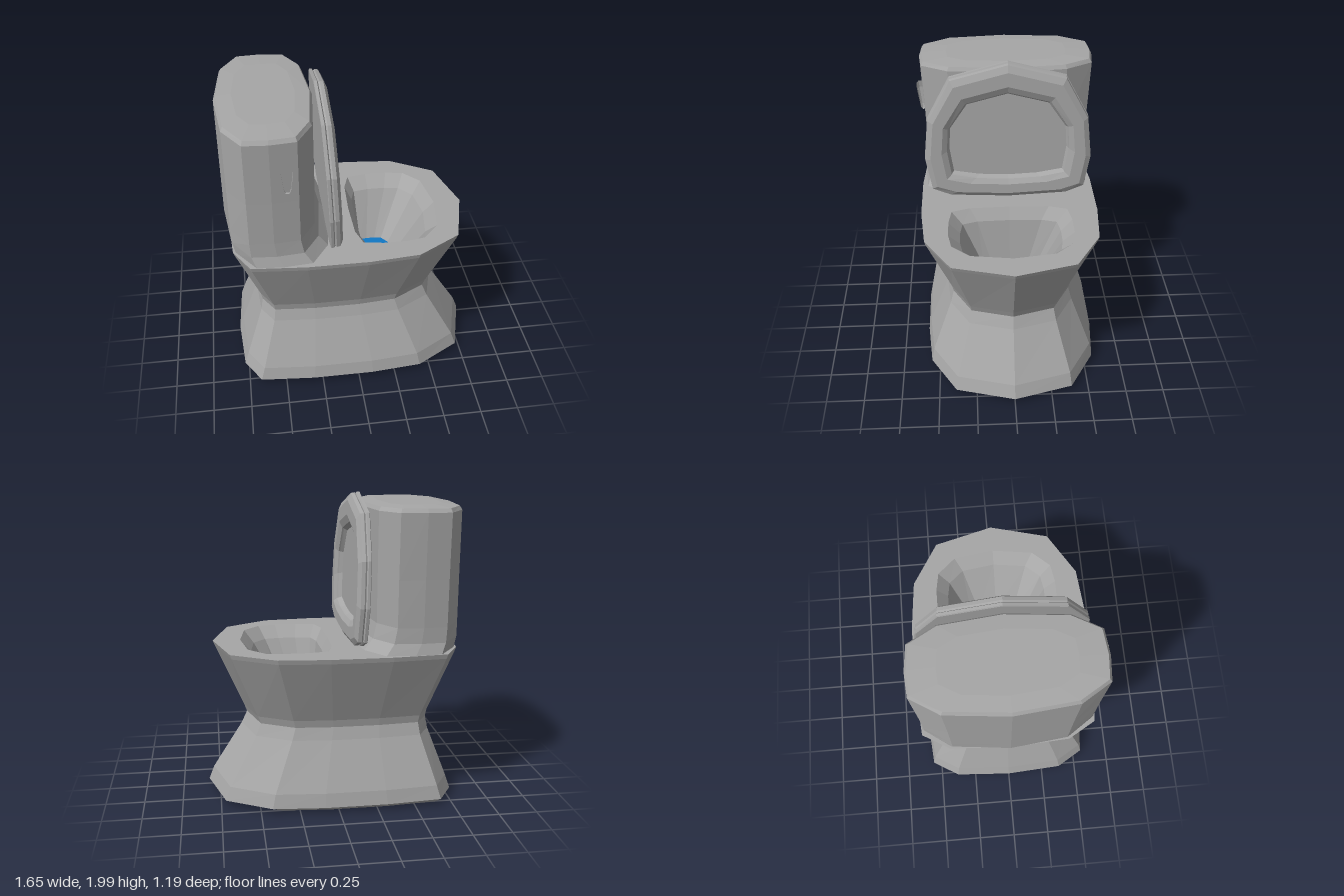
import * as THREE from 'three';

const porcelain = new THREE.MeshStandardMaterial({ color: 0xa6a6a6 });
porcelain.name = 'grey porcelain';
const waterBlue = new THREE.MeshStandardMaterial({ color: 0x1177c4 });
waterBlue.name = 'water blue';

// Flat-faceted skin through matching loops, with optional fan caps
function loft(name, rings, material, capStart, capEnd) {
  const pos = [];
  const tri = (...pts) => pts.forEach((p) => pos.push(p.x, p.y, p.z));
  const n = rings[0].length;
  const centre = (ring) => ring.reduce((s, p) => s.add(p), new THREE.Vector3()).divideScalar(n);
  for (let i = 0; i < n; i++) {
    const j = (i + 1) % n;
    for (let r = 0; r + 1 < rings.length; r++) {
      const a = rings[r], b = rings[r + 1];
      tri(a[i], b[i], a[j]);
      tri(a[j], b[i], b[j]);
    }
    const first = rings[0], last = rings[rings.length - 1];
    if (capStart) tri(centre(first), first[i], first[j]);
    if (capEnd) tri(centre(last), last[j], last[i]);
  }
  const geo = new THREE.BufferGeometry();
  geo.setAttribute('position', new THREE.Float32BufferAttribute(pos, 3));
  geo.computeVertexNormals();
  const mesh = new THREE.Mesh(geo, material);
  mesh.name = name;
  return mesh;
}

// Completes a half outline whose first and last points lie on the centre line
const mirror = (half, flip) => [...half, ...half.slice(1, -1).reverse().map(flip)];
const flipZ = ([x, z]) => [x, -z];

// Horizontal loop: unit outline stretched to a back x, front x and half width
const level = (outline, [y, back, front, w]) => outline.map(([x, z]) =>
  new THREE.Vector3((back + front) / 2 + x * (front - back) / 2, y, z * w));

const bodyOutline = mirror([[1, 0], [0.87, 0.66], [0.51, 0.95], [0.1, 1],
  [-0.4, 1], [-0.84, 0.95], [-0.97, 0.65], [-1, 0]], flipZ);
const tankOutline = mirror([[1, 0], [0.87, 0.67], [0.54, 0.97], [0, 1],
  [-0.5, 0.98], [-0.87, 0.67], [-1, 0]], flipZ);

// Upright seat outlines as [z, y], from bottom centre to top centre
const flipSide = ([z, y]) => [-z, y];
const seatOuter = mirror([[0, 1.04], [0.4, 1.06], [0.52, 1.11], [0.56, 1.33],
  [0.53, 1.62], [0.38, 1.9], [0, 2]], flipSide);
const seatInner = mirror([[0, 1.19], [0.2, 1.2], [0.37, 1.23], [0.395, 1.4],
  [0.385, 1.55], [0.27, 1.72], [0, 1.79]], flipSide);

// Leaning upright loop; t blends from outer edge (0) to opening (1)
const upright = (x, t) => seatOuter.map(([z, y], i) => {
  const h = y + (seatInner[i][1] - y) * t;
  return new THREE.Vector3(x - 0.04 * (h - 1.04), h, z + (seatInner[i][0] - z) * t);
});

export function createModel() {
  const group = new THREE.Group();

  // Pedestal, waist, rim and the inside of the bowl: y, back, front, half width
  const waterLevel = [0.62, 0.09, 0.32, 0.19];
  group.add(loft('bowlAndPedestal', [
    [0.012, -0.77, 0.72, 0.53],
    [0.05, -0.8, 0.825, 0.585],
    [0.14, -0.77, 0.79, 0.567],
    [0.45, -0.655, 0.592, 0.435],
    [0.53, -0.64, 0.555, 0.412],
    [0.58, -0.65, 0.575, 0.422],
    [1.0, -0.8, 0.76, 0.585],
    [1.03, -0.81, 0.772, 0.592],
    [1.03, 0.0, 0.59, 0.41],
    [0.95, 0.045, 0.52, 0.335],
    waterLevel,
  ].map((r) => level(bodyOutline, r)), porcelain, true, false));

  // Water at the bottom of the bowl
  group.add(loft('water', [level(bodyOutline, waterLevel)], waterBlue, false, true));

  // Cistern, flaring forward where it meets the rim
  group.add(loft('tank', [
    [1.02, -0.81, -0.13, 0.575],
    [1.1, -0.83, -0.2, 0.55],
    [1.2, -0.83, -0.225, 0.55],
    [1.5, -0.83, -0.225, 0.56],
    [1.91, -0.83, -0.225, 0.58],
    [1.935, -0.815, -0.24, 0.565],
    [1.945, -0.72, -0.33, 0.4],
  ].map((r) => level(tankOutline, r)), porcelain, false, true));

  // Raised lid behind the seat
  group.add(loft('lid', [upright(-0.176, 0.04), upright(-0.172, 0), upright(-0.155, 0),
    upright(-0.148, 0.06)], porcelain, true, true));

  // Raised seat ring with bevelled edges
  const seat = [[-0.148, 0.06], [-0.138, 0.02], [-0.115, 0.04], [-0.095, 0.25], [-0.095, 0.7],
    [-0.115, 0.92], [-0.125, 0.94], [-0.148, 1.02]];
  group.add(loft('seat', seat.map(([x, t]) => upright(x, t)), porcelain));

  // Tapered flush lever on the tank's side
  const leverOutline = [[1, -0.55], [1, 0.55], [0.8, 1], [-0.8, 1], [-1, 0.8],
    [-0.95, 0.45], [-0.95, -0.45], [-1, -0.8], [-0.8, -1], [0.8, -1]];
  const leverShape = [[0, 0.03], [0.25, 0.035], [0.85, 0.022], [1, 0.012]];
  const leverHalf = leverShape.map(([t, w]) => [w, 1.76 - 0.19 * t]);
  const leverLoop = [...leverHalf.map(([w, y]) => [-0.432 - w, y]).reverse(),
    ...leverHalf.map(([w, y]) => [-0.432 + w, y])].reverse();
  const lever = (z, s) => leverLoop.map(([x, y]) => new THREE.Vector3(
    -0.432 + (x + 0.432) * s, 1.665 + (y - 1.665) * (0.5 + s / 2), z - (1.76 - y) * 0.12));
  group.add(loft('flushLever', [lever(0.55, 1), lever(0.59, 1), lever(0.602, 0.75)],
    porcelain, false, true));

  return group;
}
